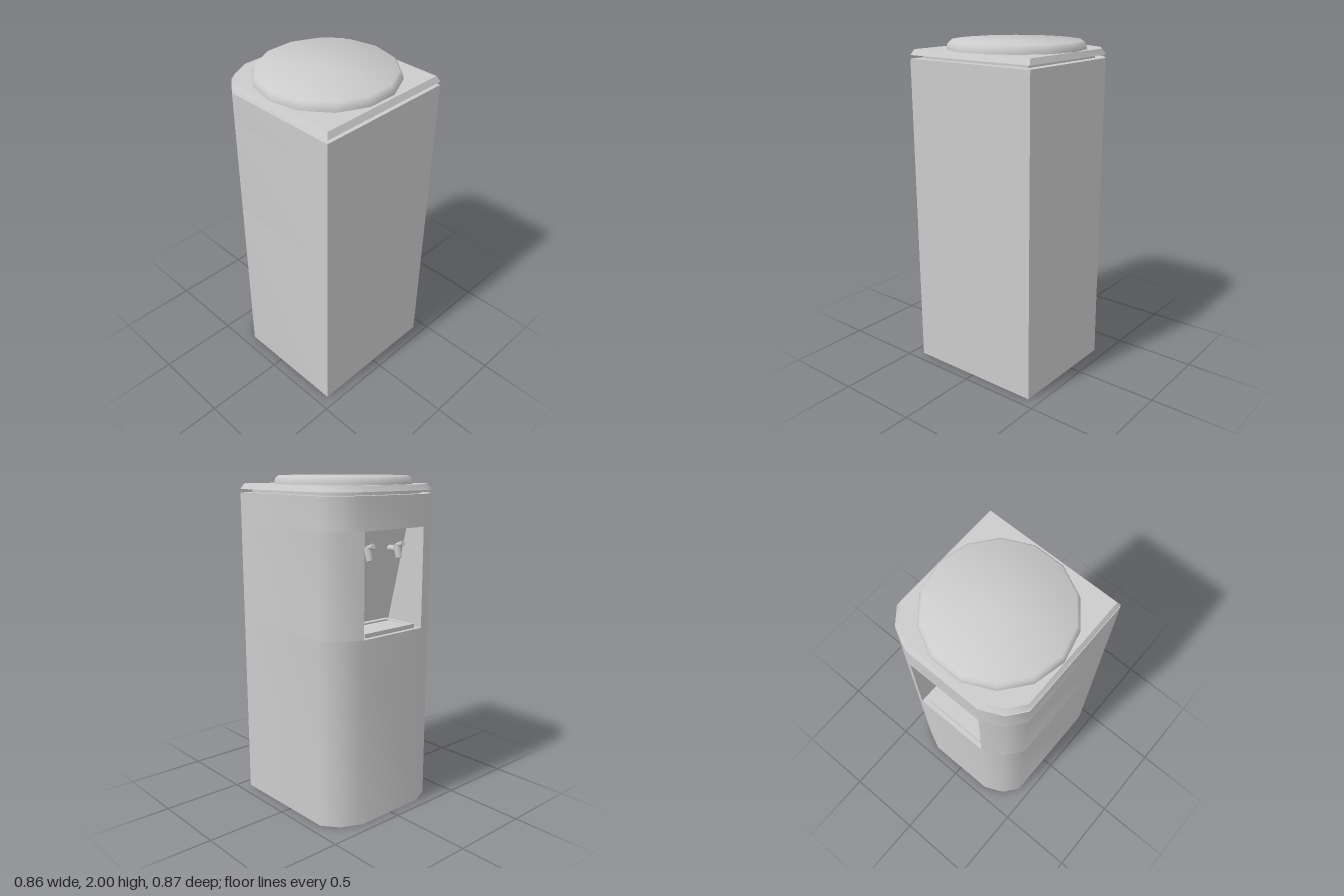
import * as THREE from 'three';
import { toCreasedNormals } from 'three/addons/utils/BufferGeometryUtils.js';

const material = new THREE.MeshStandardMaterial({ color: 0xcccccc });

// Footprint as [x, z]: square at +z, faceted round corners at -z
const side = [[0.43, 0.437], [0.43, -0.285], [0.355, -0.38], [0.232, -0.437]];
const mirror = (pts) => pts.map(([x, z]) => [-x, z]).reverse();
const footprint = [...side, ...mirror(side)];

const NICHE = { half: 0.232, y0: 1.12, y1: 1.715, zLow: -0.16, zHigh: -0.305 };

function mesh(name, geometry, parent) {
  const m = new THREE.Mesh(geometry, material);
  m.name = name;
  parent.add(m);
  return m;
}

// Upright prism over an [x, z] outline between two heights
function prism(pts, y0, y1, scale = 1) {
  const shape = new THREE.Shape(pts.map(([x, z]) => new THREE.Vector2(x * scale, -z * scale)));
  const g = new THREE.ExtrudeGeometry(shape, { depth: y1 - y0, bevelEnabled: false });
  g.rotateX(-Math.PI / 2).translate(0, y0, 0);
  return toCreasedNormals(g, 0.75);
}

// Round bar between two points
function bar(name, a, b, rA, rB, parent) {
  const from = new THREE.Vector3(...a);
  const dir = new THREE.Vector3(...b).sub(from);
  const m = mesh(name, new THREE.CylinderGeometry(rB, rA, dir.length(), 10), parent);
  m.position.copy(from).addScaledVector(dir, 0.5);
  m.quaternion.setFromUnitVectors(new THREE.Vector3(0, 1, 0), dir.normalize());
}

export function createModel() {
  const group = new THREE.Group();
  group.name = 'waterDispenser';

  // Cabinet, with the middle section notched for the niche
  const notch = [[NICHE.half, NICHE.zLow]];
  const notched = [...side, ...notch, ...mirror(notch), ...mirror(side)];
  mesh('cabinetBase', prism(footprint, 0, NICHE.y0), group);
  mesh('cabinetMiddle', prism(notched, NICHE.y0, NICHE.y1), group);
  mesh('cabinetHead', prism(footprint, NICHE.y1, 1.9), group);

  // Sloping back wall of the niche
  const wedge = new THREE.Shape([
    new THREE.Vector2(NICHE.zLow, NICHE.y0),
    new THREE.Vector2(NICHE.zLow, NICHE.y1),
    new THREE.Vector2(NICHE.zHigh, NICHE.y1),
  ]);
  const wall = new THREE.ExtrudeGeometry(wedge, { depth: 2 * NICHE.half, bevelEnabled: false });
  wall.rotateY(-Math.PI / 2).translate(NICHE.half, 0, 0);
  mesh('nicheBackWall', wall, group);

  // Drip tray: raised rim around a sunken floor
  const rect = (w, z0, z1) => [[w, z0], [w, z1], [-w, z1], [-w, z0]]
    .map(([x, z]) => new THREE.Vector2(x, -z));
  const rim = new THREE.Shape(rect(0.2, -0.41, -0.175));
  rim.holes.push(new THREE.Path(rect(0.165, -0.375, -0.21)));
  const tray = new THREE.ExtrudeGeometry(rim, { depth: 0.025, bevelEnabled: false });
  tray.rotateX(-Math.PI / 2).translate(0, NICHE.y0, 0);
  mesh('dripTray', tray, group);
  const trayFloor = mesh('dripTrayFloor', new THREE.BoxGeometry(0.33, 0.01, 0.165), group);
  trayFloor.position.set(0, NICHE.y0 + 0.005, -0.2925);

  // Pair of taps
  for (const x of [-0.117, 0.117]) {
    const tap = new THREE.Group();
    tap.name = x > 0 ? 'leftTap' : 'rightTap';
    group.add(tap);
    bar('tapStem', [x, 1.59, -0.24], [x, 1.59, -0.35], 0.018, 0.018, tap);
    bar('tapSpout', [x, 1.615, -0.335], [x, 1.54, -0.355], 0.022, 0.018, tap);
    bar('tapLever', [x, 1.61, -0.335], [x, 1.625, -0.385], 0.012, 0.016, tap);
  }

  // Recessed neck under the lid
  mesh('neck', prism(footprint, 1.9, 1.925, 0.88), group);

  // Lid with its upper edge drawn inwards
  const lid = prism(footprint, 1.92, 1.953);
  const p = lid.attributes.position;
  for (let i = 0; i < p.count; i++) {
    if (p.getY(i) > 1.94) p.setXYZ(i, p.getX(i) * 0.96, p.getY(i), p.getZ(i) * 0.96);
  }
  mesh('lid', toCreasedNormals(lid, 0.75), group);

  // Fourteen-sided cap
  const profile = [[0, 1.945], [0.41, 1.945], [0.41, 1.962], [0.402, 1.988], [0.388, 2], [0, 2]]
    .map(([r, y]) => new THREE.Vector2(r, y));
  mesh('topCap', toCreasedNormals(new THREE.LatheGeometry(profile, 14, Math.PI / 2), 0.75), group);

  return group;
}
